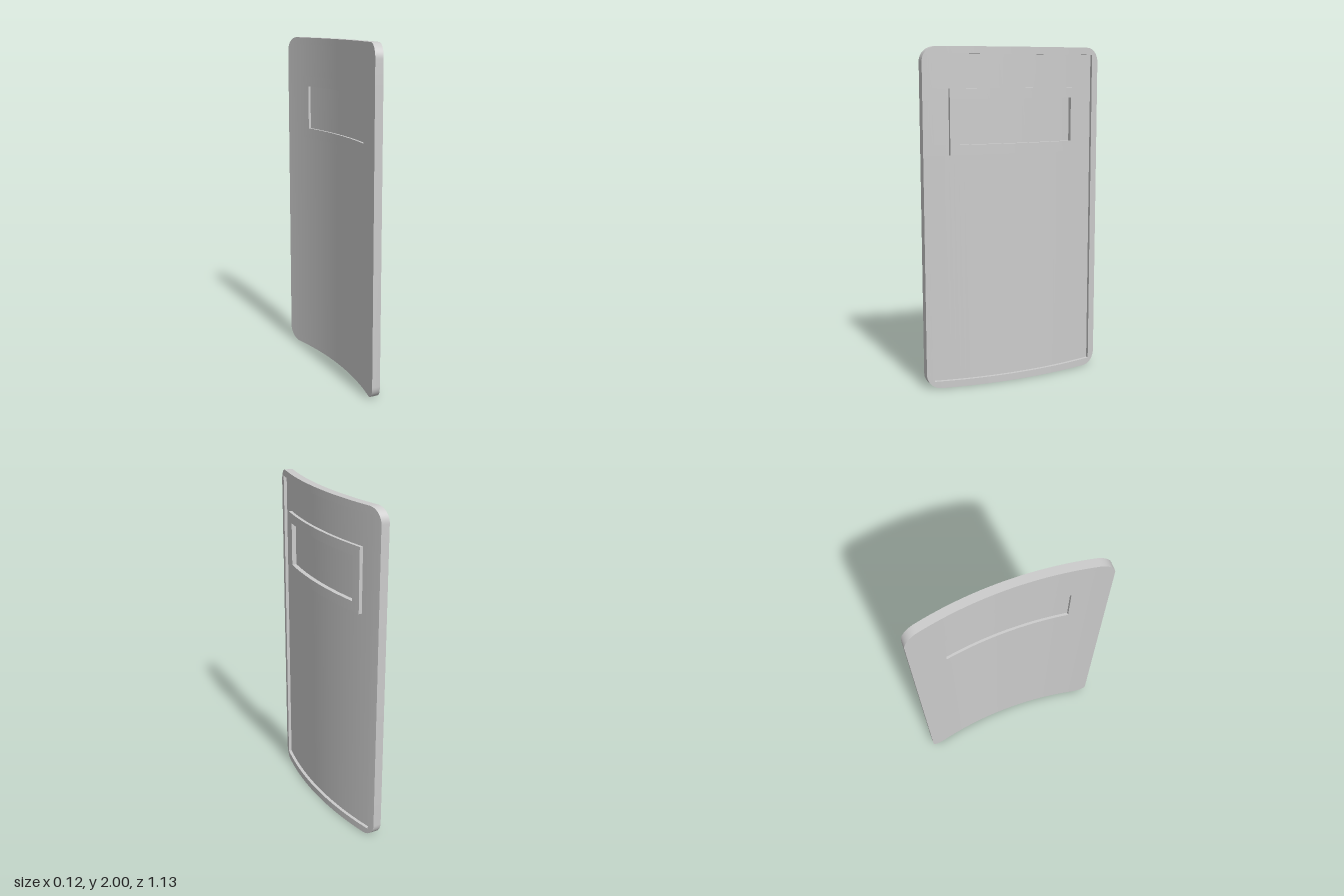
import * as THREE from 'three';
import { toCreasedNormals } from 'three/addons/utils/BufferGeometryUtils.js';

const HALF = 0.567, HEIGHT = 2, CORNER = 0.085, RADIUS = 2.24;

// depth range of each part, measured from the concave back face
const DEPTH = {
  rim: [0, 0.05],
  panel: [0, 0.03],
  visorFrame: [0, 0.05],
  visorPane: [0.014, 0.022],
};

// column positions across the width, finer around the rounded corners
function columns() {
  const half = [];
  const stops = [0, 0.36, 0.415, 0.482, 0.522];
  const steps = [12, 2, 2, 3];
  steps.forEach((n, s) => {
    for (let i = 0; i < n; i++) half.push(THREE.MathUtils.lerp(stops[s], stops[s + 1], i / n));
  });
  const start = Math.asin((0.522 - (HALF - CORNER)) / CORNER);
  for (let i = 0; i <= 8; i++) {
    half.push(HALF - CORNER + CORNER * Math.sin(THREE.MathUtils.lerp(start, Math.PI / 2, i / 8)));
  }
  return [...half.slice(1).reverse().map((z) => -z), ...half];
}

const Z = columns();
const Y = [0, 0.042, 1.385, 1.445, 1.705, 1.765, 1.958, HEIGHT];

// which part covers a cell of the grid
function partAt(i, j) {
  if (i < 0 || j < 0 || i >= Z.length - 1 || j >= Y.length - 1) return null;
  const z = Math.abs(Z[i] + Z[i + 1]) / 2;
  const y = (Y[j] + Y[j + 1]) / 2;
  if (z > 0.522 || y < 0.042 || y > 1.958) return 'rim';
  if (z < 0.36 && y > 1.445 && y < 1.705) return 'visorPane';
  if (z < 0.415 && y > 1.385 && y < 1.765) return 'visorFrame';
  return 'panel';
}

// curved surface point, with the corners rounded off
function point(i, j, t) {
  const z = Z[i];
  const over = Math.max(0, Math.abs(z) - (HALF - CORNER));
  const cut = CORNER - Math.sqrt(Math.max(0, CORNER * CORNER - over * over));
  const y = THREE.MathUtils.clamp(Y[j], cut, HEIGHT - cut);
  const x = 0.0115 - (RADIUS - Math.sqrt(RADIUS * RADIUS - z * z)) + t;
  return new THREE.Vector3(x, y, z);
}

function buildPart(name) {
  const pos = [];
  const tri = (a, b, c) => {
    if (new THREE.Triangle(a, b, c).getArea() < 1e-9) return;
    for (const p of [a, b, c]) pos.push(p.x, p.y, p.z);
  };
  const quad = (a, b, c, d, flip) => {
    if (flip) [b, d] = [d, b];
    tri(a, b, c);
    tri(a, c, d);
  };
  const [back, front] = DEPTH[name];

  // depth intervals where this part stands proud of its neighbour
  const exposed = (neighbour) => {
    if (!neighbour) return [[back, front]];
    const [b, f] = DEPTH[neighbour];
    const spans = [];
    if (front > f) spans.push([f, front]);
    if (back < b) spans.push([back, b]);
    return spans;
  };

  for (let i = 0; i < Z.length - 1; i++) {
    for (let j = 0; j < Y.length - 1; j++) {
      if (partAt(i, j) !== name) continue;
      // front and back faces
      for (const t of [front, back]) {
        quad(point(i, j, t), point(i, j + 1, t), point(i + 1, j + 1, t), point(i + 1, j, t), t === back);
      }
      for (const side of [0, 1]) {
        // side walls
        const c = i + side;
        for (const [t0, t1] of exposed(partAt(i + side * 2 - 1, j))) {
          quad(point(c, j, t0), point(c, j, t1), point(c, j + 1, t1), point(c, j + 1, t0), side === 0);
        }
        // upper and lower walls
        const r = j + side;
        for (const [t0, t1] of exposed(partAt(i, j + side * 2 - 1))) {
          quad(point(i, r, t0), point(i + 1, r, t0), point(i + 1, r, t1), point(i, r, t1), side === 0);
        }
      }
    }
  }
  const geometry = new THREE.BufferGeometry();
  geometry.setAttribute('position', new THREE.Float32BufferAttribute(pos, 3));
  return toCreasedNormals(geometry, 0.5);
}

export function createModel() {
  const group = new THREE.Group();
  group.name = 'curvedShield';
  const material = new THREE.MeshStandardMaterial({ color: 0xcccccc });
  for (const name of Object.keys(DEPTH)) {
    const mesh = new THREE.Mesh(buildPart(name), material);
    mesh.name = name;
    group.add(mesh);
  }
  return group;
}
